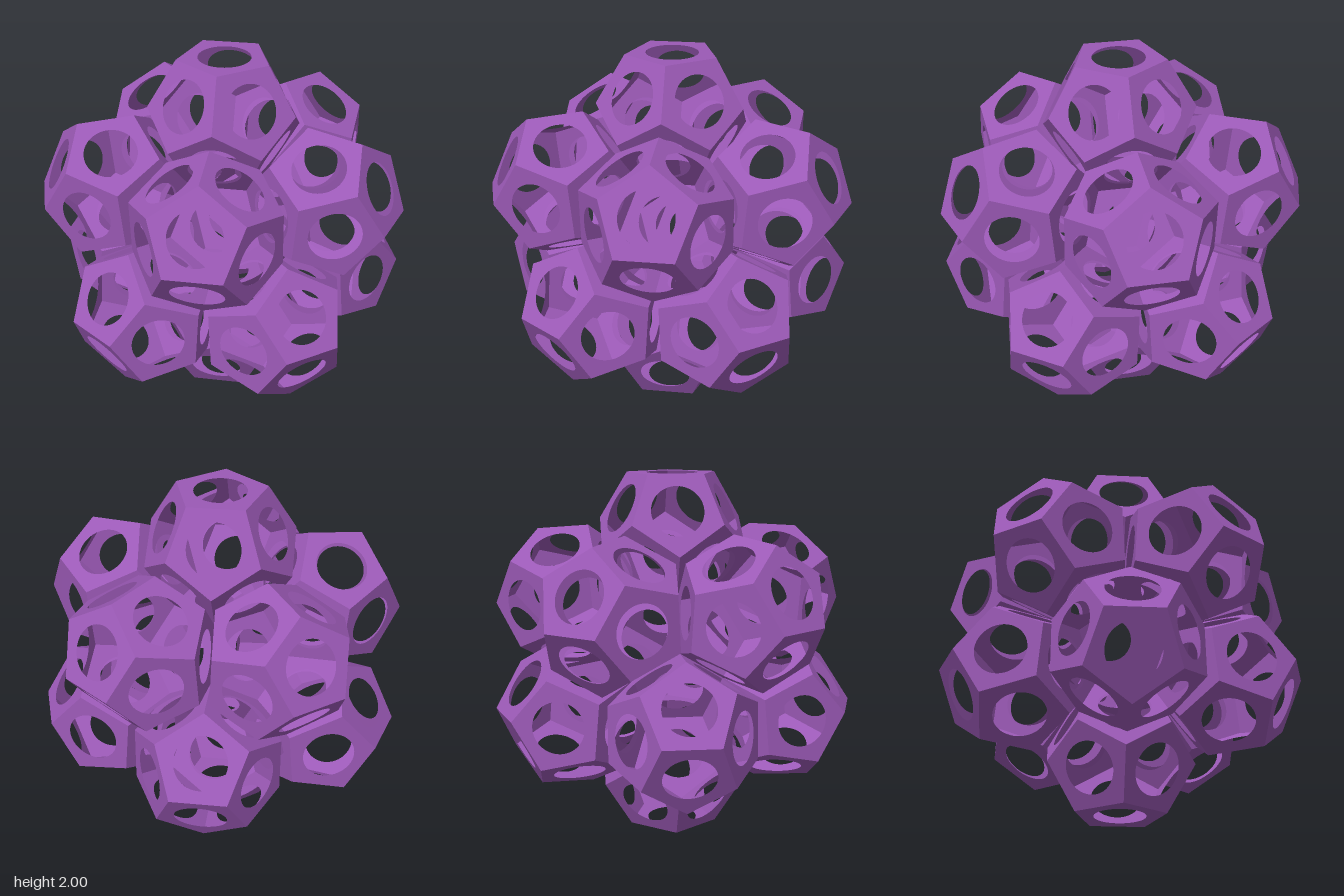
import * as THREE from 'three';
import { mergeGeometries } from 'three/addons/utils/BufferGeometryUtils.js';

const INRADIUS = 1 / 3;                          // cage centre to face
const EDGE = INRADIUS / 1.113516;                // dodecahedron edge length
const PENTAGON = EDGE * 0.850651;                // pentagon corner radius
const HOLE = 0.14;

// Twelve faces: outward normal and the direction of one pentagon corner
function faceFrames() {
  const up = new THREE.Vector3(0, 1, 0);
  const frames = [{ normal: up.clone(), corner: new THREE.Vector3(-1, 0, 0) }];
  for (let i = 0; i < 5; i++) {
    const a = (i * 2 * Math.PI) / 5;
    const normal = new THREE.Vector3(2 * Math.cos(a), 1, 2 * Math.sin(a)).normalize();
    const corner = up.clone().negate().projectOnPlane(normal).normalize();
    frames.push({ normal, corner });
  }
  // the other half is the point reflection of the first
  return frames.concat(frames.map(({ normal, corner }) => ({
    normal: normal.clone().negate(), corner: corner.clone().negate(),
  })));
}

// Thin pentagon plate with a round window, first corner on +y
function plateGeometry() {
  const shape = new THREE.Shape();
  for (let i = 0; i < 5; i++) {
    const a = Math.PI / 2 + (i * 2 * Math.PI) / 5;
    const x = PENTAGON * Math.cos(a), y = PENTAGON * Math.sin(a);
    if (i === 0) shape.moveTo(x, y); else shape.lineTo(x, y);
  }
  shape.closePath();
  const hole = new THREE.Path();
  hole.absarc(0, 0, HOLE, 0, Math.PI * 2, true);
  shape.holes.push(hole);
  return new THREE.ShapeGeometry(shape, 48);
}

// Hollow dodecahedron made of twelve plates
function cageGeometry(frames) {
  const plate = plateGeometry();
  return mergeGeometries(frames.map(({ normal, corner }) => {
    const side = new THREE.Vector3().crossVectors(corner, normal);
    const m = new THREE.Matrix4().makeBasis(side, corner, normal);
    m.setPosition(normal.clone().multiplyScalar(INRADIUS));
    return plate.clone().applyMatrix4(m);
  }));
}

export function createModel() {
  const group = new THREE.Group();
  group.name = 'dodecahedronCluster';
  const material = new THREE.MeshStandardMaterial({ color: 0x9b59b6, side: THREE.DoubleSide });
  const frames = faceFrames();
  const geometry = cageGeometry(frames);

  // One cage on every face of an implied core; their inner plates enclose it
  frames.forEach(({ normal }, i) => {
    const cage = new THREE.Mesh(geometry, material);
    cage.name = `cage${i + 1}`;
    cage.quaternion.setFromAxisAngle(normal, Math.PI);   // half turn makes the shared faces match
    cage.position.copy(normal).multiplyScalar(2 * INRADIUS);
    cage.position.y += 3 * INRADIUS;
    group.add(cage);
  });
  return group;
}
